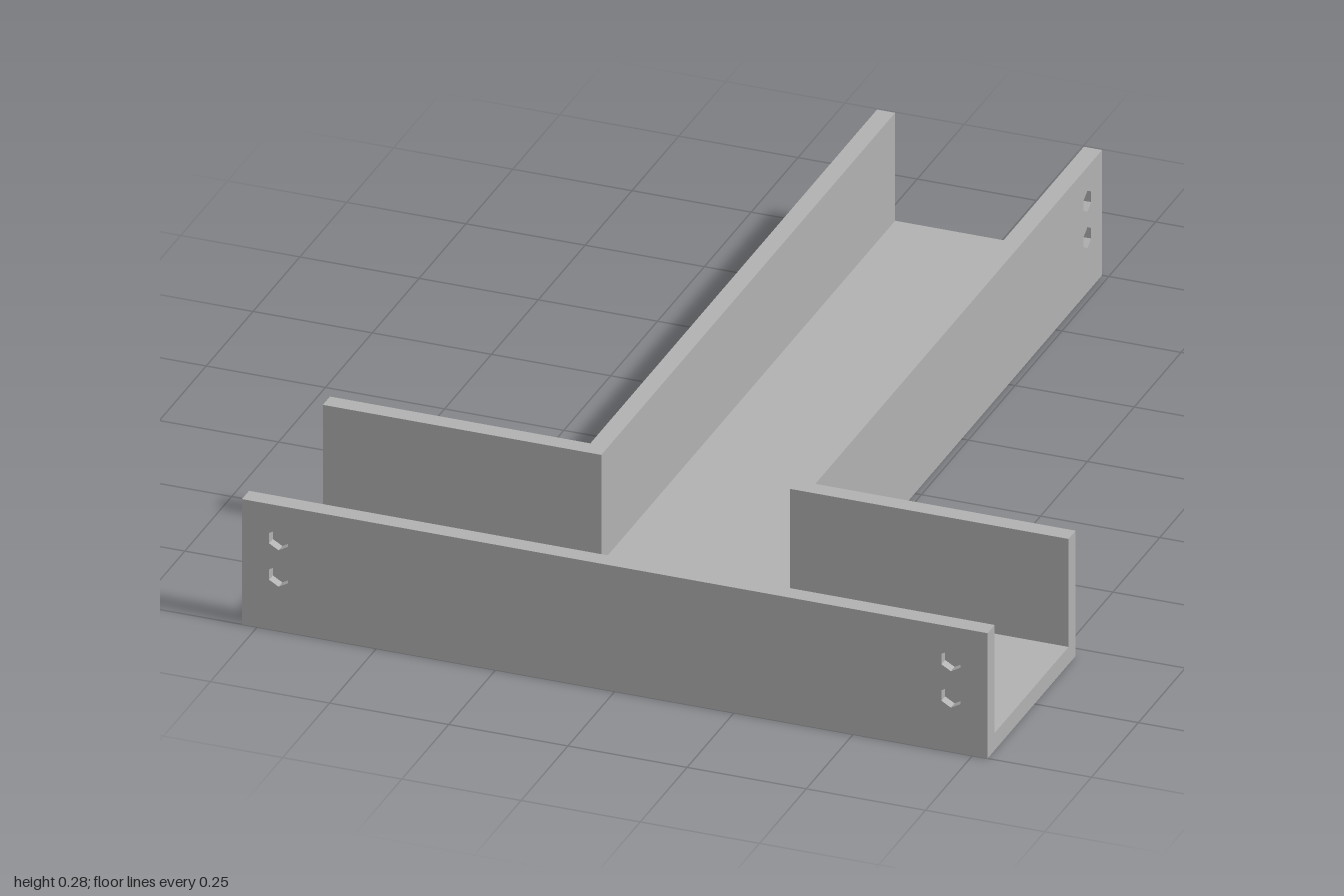
import * as THREE from 'three';

const H = 0.275;       // channel height
const T = 0.038;       // plate thickness
const POCKET = 0.02;   // depth of the blind hexagonal holes
const HALF = 0.782;    // half width of the crossbar
const STEM = 0.236;    // outer half width of the stem
const BACK = 0.53;     // outer z of the crossbar's rear walls

// Upright wall: outer face at local z = 0, blind hexagonal holes at the given x
function makeWall(name, length, holeXs, material) {
  const wall = new THREE.Group();
  wall.name = name;
  const shape = new THREE.Shape([
    new THREE.Vector2(-length / 2, 0), new THREE.Vector2(length / 2, 0),
    new THREE.Vector2(length / 2, H), new THREE.Vector2(-length / 2, H),
  ]);
  for (const x of holeXs) {
    for (const y of [0.12, 0.2]) {
      const corners = [];
      for (let i = 0; i < 6; i++) {
        const a = Math.PI / 2 - i * Math.PI / 3;
        corners.push(new THREE.Vector2(x + 0.023 * Math.cos(a), y + 0.023 * Math.sin(a)));
      }
      shape.holes.push(new THREE.Path(corners));
    }
  }
  const outer = new THREE.Mesh(
    new THREE.ExtrudeGeometry(shape, { depth: POCKET, bevelEnabled: false }), material);
  outer.name = 'drilledPlate';
  outer.position.z = -POCKET;
  const inner = new THREE.Mesh(new THREE.BoxGeometry(length, H, T - POCKET), material);
  inner.name = 'backingPlate';
  inner.position.set(0, H / 2, -(T + POCKET) / 2);
  wall.add(outer, inner);
  return wall;
}

export function createModel() {
  const group = new THREE.Group();
  group.name = 'teeChannel';
  const grey = new THREE.MeshStandardMaterial({ color: 0xb2b2b2 });
  grey.name = 'plainGrey';

  // T-shaped floor lying between the walls
  const s = STEM - T, b = BACK + T, f = 1 - T;
  const outline = [[-s, -1], [-s, b], [-HALF, b], [-HALF, f], [HALF, f], [HALF, b], [s, b], [s, -1]];
  const floorShape = new THREE.Shape(outline.map(([x, z]) => new THREE.Vector2(x, -z)));
  const floor = new THREE.Mesh(
    new THREE.ExtrudeGeometry(floorShape, { depth: T, bevelEnabled: false }), grey);
  floor.name = 'floor';
  floor.rotation.x = -Math.PI / 2;
  group.add(floor);

  // Long front wall
  const front = makeWall('frontWall', HALF * 2, [-0.705, 0.705], grey);
  front.position.z = 1;
  group.add(front);

  // Mirrored rear walls of the crossbar and side walls of the stem
  for (const side of [1, -1]) {
    const label = side > 0 ? 'left' : 'right';

    const mid = (HALF + STEM) / 2;
    const rear = makeWall(label + 'RearWall', HALF - STEM, [-side * (0.705 - mid)], grey);
    rear.position.set(side * mid, 0, BACK);
    rear.rotation.y = Math.PI;
    group.add(rear);

    const centre = (b - 1) / 2;
    const stem = makeWall(label + 'StemWall', b + 1, [side * (0.922 + centre)], grey);
    stem.position.set(side * STEM, 0, centre);
    stem.rotation.y = side * Math.PI / 2;
    group.add(stem);
  }
  return group;
}
